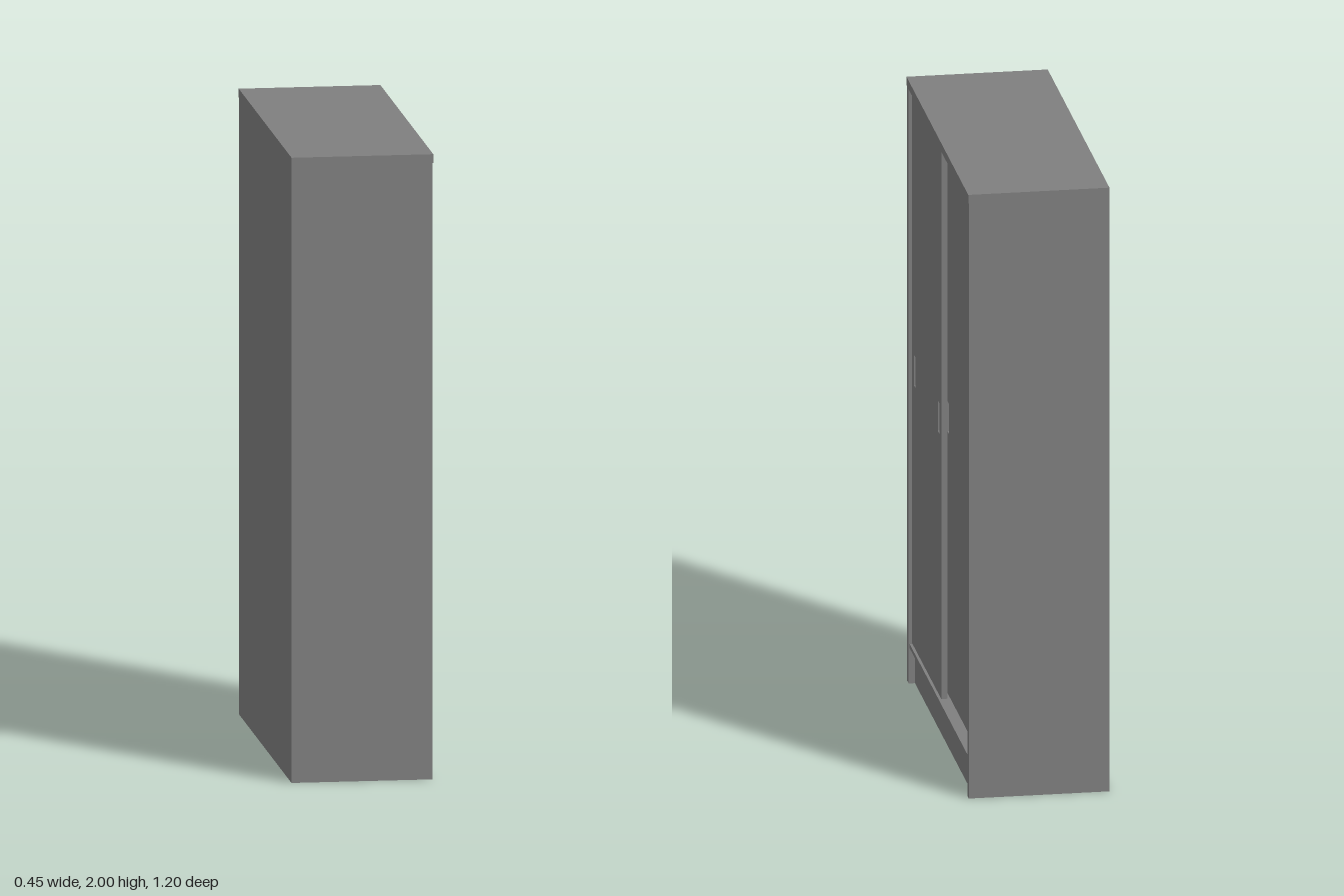
import * as THREE from 'three';

const material = new THREE.MeshStandardMaterial({ color: 0x7f7f7f, flatShading: true });

// Box given by its minimum and maximum corners
function board(name, [x0, y0, z0], [x1, y1, z1]) {
  const mesh = new THREE.Mesh(new THREE.BoxGeometry(x1 - x0, y1 - y0, z1 - z0), material);
  mesh.position.set((x0 + x1) / 2, (y0 + y1) / 2, (z0 + z1) / 2);
  mesh.name = name;
  return mesh;
}

// Corner points of a rectangle
const rectangle = (x0, y0, x1, y1) =>
  [[x0, y0], [x1, y0], [x1, y1], [x0, y1]].map(([x, y]) => new THREE.Vector2(x, y));

// Sliding door facing +x with a sunken finger pull near each vertical edge
function slidingDoor(name, frontX, z0, z1) {
  const thickness = 0.02, pocket = 0.016;
  const half = (z1 - z0) / 2;
  const shape = new THREE.Shape(rectangle(-half, 0.135, half, 1.968));
  const pulls = [-1, 1].map((s) => {
    const x = s * (half - 0.054);
    return rectangle(x - 0.015, 1.002, x + 0.015, 1.102);
  });
  for (const corners of pulls) shape.holes.push(new THREE.Path(corners));

  const door = new THREE.Group();
  door.name = name;
  const addPart = (partName, outline, depth) => {
    const mesh = new THREE.Mesh(
      new THREE.ExtrudeGeometry(outline, { depth, bevelEnabled: false }), material);
    mesh.name = partName;
    door.add(mesh);
  };
  addPart('doorPanel', shape, thickness);
  // Floor of each pull, closing the hole from behind
  for (const corners of pulls) addPart('fingerPull', new THREE.Shape(corners), thickness - pocket);

  door.rotation.y = Math.PI / 2;
  door.position.set(frontX - thickness, 0, (z0 + z1) / 2);
  return door;
}

export function createModel() {
  const cabinet = new THREE.Group();
  cabinet.name = 'slidingDoorCabinet';

  const X = 0.225, Z = 0.6, H = 2, t = 0.03;
  const lip = 0.002; // slight overhang of the top
  const inner = Z - t;
  const under = H - 0.028;
  const backX = -X + 0.015;

  // Carcass
  cabinet.add(
    board('topPanel', [-X, under, -Z], [X, H, Z]),
    board('leftSide', [-X, 0, inner], [X - lip, under, Z - lip]),
    board('rightSide', [-X, 0, -Z + lip], [X - lip, under, -inner]),
    board('backPanel', [-X, 0, -inner], [backX, under, inner]),
    board('bottomPanel', [backX, 0.117, -inner], [0.22, 0.131, inner]),
    board('plinth', [0.185, 0, -inner], [0.203, 0.117, inner]),
  );

  // Evenly spaced shelves behind the doors
  for (let i = 0; i < 4; i++) {
    const y = 0.489 + i * 0.382;
    cabinet.add(board('shelf', [backX, y, -inner], [0.142, y + 0.016, inner]));
  }

  // Doors on two tracks, the rear one partly open
  cabinet.add(
    slidingDoor('frontDoor', 0.213, -0.003, 0.565),
    slidingDoor('rearDoor', 0.184, -0.473, 0.095),
  );
  return cabinet;
}
